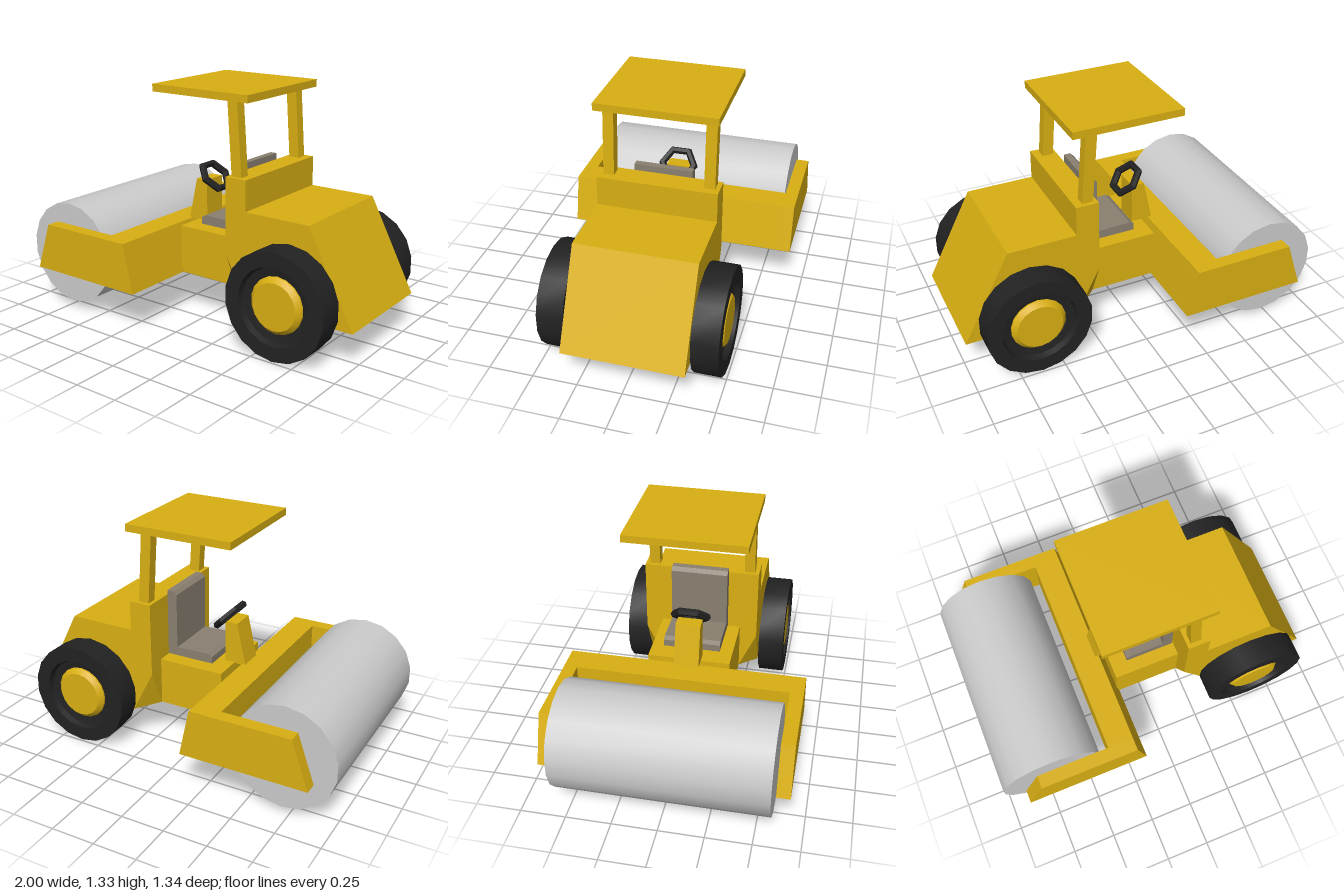
import * as THREE from 'three';
import { toCreasedNormals } from 'three/addons/utils/BufferGeometryUtils.js';
import { ConvexGeometry } from 'three/addons/geometries/ConvexGeometry.js';

const paint = (color) => new THREE.MeshStandardMaterial({ color });
const SIDES = 18;

// Side profile in x, y extruded from z0 to z1
function slab(points, z0, z1) {
  const shape = new THREE.Shape(points.map(([x, y]) => new THREE.Vector2(x, y)));
  const geo = new THREE.ExtrudeGeometry(shape, { depth: z1 - z0, bevelEnabled: false });
  return geo.translate(0, 0, z0);
}

const block = (x0, x1, y0, y1, halfZ) =>
  slab([[x0, y0], [x1, y0], [x1, y1], [x0, y1]], -halfZ, halfZ);

// Profile of [radius, z] turned about the z axis
function turned(points) {
  const geo = new THREE.LatheGeometry(points.map(([r, z]) => new THREE.Vector2(r, z)), SIDES);
  return toCreasedNormals(geo.rotateX(Math.PI / 2), 0.5);
}

export function createModel() {
  const model = new THREE.Group();
  model.name = 'roadRoller';
  const yellow = paint(0xd9af12);
  const black = paint(0x222222);
  const grey = paint(0xcccccc);
  const taupe = paint(0x8a8071);

  function add(name, geo, material, parent = model) {
    const mesh = new THREE.Mesh(geo, material);
    mesh.name = name;
    parent.add(mesh);
    return mesh;
  }

  // Roller drum
  const drum = add('drum', turned([[0, -0.582], [0.297, -0.582], [0.297, 0.582], [0, 0.582]]), grey);
  drum.position.set(-0.708, 0.337, 0);

  // Yoke around the drum
  add('yokeBeam', slab([[-0.365, 0.24], [-0.155, 0.24], [-0.215, 0.515], [-0.365, 0.515]], -0.6, 0.6), yellow);
  const arm = [[-0.885, 0.24], [-0.155, 0.24], [-0.215, 0.515], [-0.79, 0.515]];
  add('leftYokeArm', slab(arm, 0.597, 0.672), yellow);
  add('rightYokeArm', slab(arm, -0.672, -0.597), yellow);

  // Driver's deck and steering console
  add('deck', block(-0.17, 0.23, 0.238, 0.515, 0.235), yellow);
  add('console', slab([[-0.238, 0.51], [-0.11, 0.51], [-0.11, 0.755], [-0.183, 0.755]], -0.07, 0.07), yellow);

  // Tower behind the seat, with its lower front corners tapering to the deck
  const corners = [];
  for (const s of [-1, 1]) {
    for (const [x, y, z] of [
      [0.217, 0.237, 0.235], [0.217, 0.46, 0.335], [0.217, 0.883, 0.335],
      [0.347, 0.205, 0.335], [0.347, 0.883, 0.335],
    ]) corners.push(new THREE.Vector3(x, y, s * z));
  }
  add('tower', new ConvexGeometry(corners), yellow);

  // Engine hood
  add('hood', slab([[0.347, 0.205], [1, 0.198], [0.735, 0.712], [0.347, 0.712]], -0.335, 0.335), yellow);

  // Canopy on two leaning posts
  add('canopy', block(-0.275, 0.357, 1.285, 1.327, 0.335), yellow);
  const post = [[0.24, 0.88], [0.302, 0.88], [0.274, 1.287], [0.212, 1.287]];
  add('leftPost', slab(post, 0.25, 0.31), yellow);
  add('rightPost', slab(post, -0.31, -0.25), yellow);

  // Seat with softened corners
  add('seat', slab([
    [-0.075, 0.525], [0.208, 0.525], [0.208, 0.915], [0.17, 0.915], [0.15, 0.895],
    [0.15, 0.575], [-0.05, 0.58], [-0.075, 0.565],
  ], -0.163, 0.163), taupe);

  // Six-sided steering wheel, tilted towards the seat
  const ring = new THREE.TorusGeometry(0.093, 0.022, 6, 6).toNonIndexed();
  ring.computeVertexNormals();
  ring.rotateZ(Math.PI / 2).rotateX(-Math.PI / 4).rotateY(Math.PI / 2);
  ring.rotateY(0).rotateX(0);
  ring.translate(-0.102, 0.768, 0);
  // a vertex of the hexagon points sideways, so the flats face up and down
  ring.translate(0.102, -0.768, 0).rotateZ(Math.PI / 4).rotateX(Math.PI / 6)
    .rotateZ(-Math.PI / 4).translate(-0.102, 0.768, 0);
  const wheel = new THREE.TorusGeometry(0.093, 0.022, 6, 6).toNonIndexed();
  wheel.computeVertexNormals();
  wheel.rotateY(Math.PI / 2).rotateZ(Math.PI / 4).translate(-0.102, 0.768, 0);
  add('steeringWheel', wheel, black);

  // Rear wheels: recessed tyre with a domed hub
  const tyre = turned([[0, 0.34], [0.2975, 0.34], [0.2975, 0.488], [0.215, 0.488], [0.205, 0.455], [0.15, 0.445]]);
  const hub = turned([[0.157, 0.435], [0.155, 0.455], [0.13, 0.48], [0, 0.48]]);
  for (const [name, angle] of [['frontSideWheel', 0], ['backSideWheel', Math.PI]]) {
    const group = new THREE.Group();
    group.name = name;
    group.position.set(0.625, 0.2975, 0);
    group.rotation.y = angle;
    add('tyre', tyre, black, group);
    add('hub', hub, yellow, group);
    model.add(group);
  }
  return model;
}
